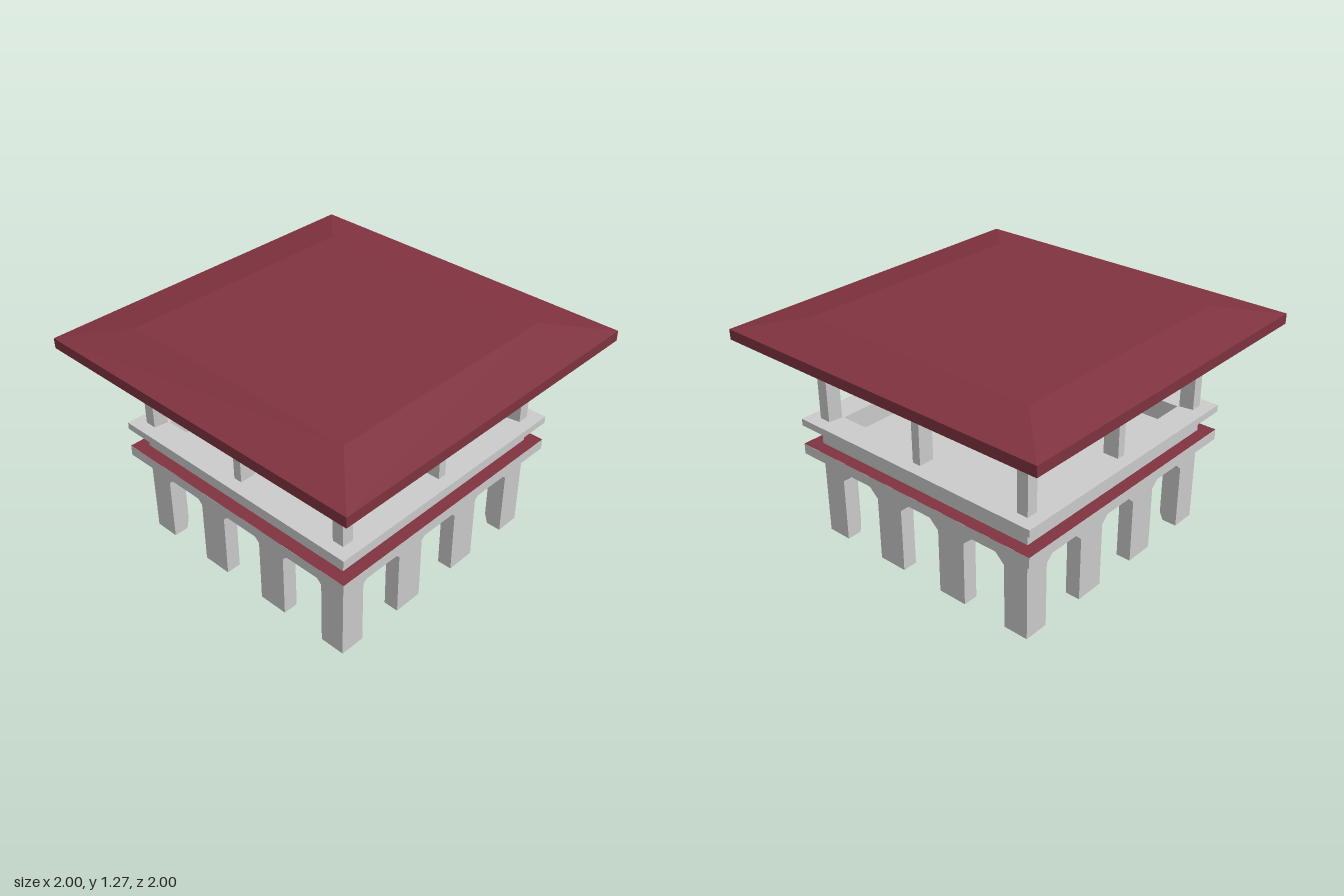
import * as THREE from 'three';

const grey = new THREE.MeshStandardMaterial({ color: 0xcccccc, flatShading: true, side: THREE.DoubleSide });
const red = new THREE.MeshStandardMaterial({ color: 0x803340, flatShading: true, side: THREE.DoubleSide });

const HALF = 0.71;          // half width of the tower
const WALL = 0.085;         // wall thickness
const INNER = HALF - WALL;  // inner face of the walls
const EAVE = 1.165;         // underside of the roof

const polygon = (points) => new THREE.Shape(points.map(([x, y]) => new THREE.Vector2(x, y)));
const square = (h) => polygon([[-h, -h], [h, -h], [h, h], [-h, h]]);

function add(parent, name, geometry, material = grey) {
  const mesh = new THREE.Mesh(geometry, material);
  mesh.name = name;
  parent.add(mesh);
  return mesh;
}

function slab(parent, name, half, y0, y1, material = grey) {
  const geo = new THREE.BoxGeometry(half * 2, y1 - y0, half * 2);
  add(parent, name, geo.translate(0, (y0 + y1) / 2, 0), material);
}

function extrude(shape, depth) {
  return new THREE.ExtrudeGeometry(shape, { depth, bevelEnabled: false });
}

// Square frame, open in the middle
function ringShape(half) {
  const shape = square(half);
  shape.holes.push(square(INNER));
  return shape;
}

function ring(parent, name, half, y0, y1) {
  add(parent, name, extrude(ringShape(half), y1 - y0).rotateX(-Math.PI / 2).translate(0, y0, 0));
}

// Upright prism from a plan outline of [x, z] points
function prism(plan, y0, y1) {
  const geo = extrude(polygon(plan.map(([x, z]) => [x, -z])), y1 - y0);
  return geo.rotateX(-Math.PI / 2).translate(0, y0, 0);
}

// Leave the feet hollow by dropping the triangles that lie on the ground
function openBase(geo) {
  const p = geo.getAttribute('position');
  const kept = [];
  for (let i = 0; i < p.count; i += 3) {
    if (Math.max(p.getY(i), p.getY(i + 1), p.getY(i + 2)) < 0.001) continue;
    for (let k = i; k < i + 3; k++) kept.push(p.getX(k), p.getY(k), p.getZ(k));
  }
  const open = new THREE.BufferGeometry();
  open.setAttribute('position', new THREE.Float32BufferAttribute(kept, 3));
  open.computeVertexNormals();
  return open;
}

// Wall with three chamfered openings, outer face at z = HALF
function arcadeWall(half) {
  const points = [[-half, 0]];
  for (const c of [-0.435, 0, 0.435]) {
    points.push([c - 0.132, 0], [c - 0.132, 0.37], [c - 0.046, 0.45],
      [c + 0.046, 0.45], [c + 0.132, 0.37], [c + 0.132, 0]);
  }
  points.push([half, 0], [half, 0.49], [-half, 0.49]);
  return openBase(extrude(polygon(points), WALL).translate(0, 0, INNER));
}

// Corner filling up to the springing
function cornerFill() {
  return openBase(prism([[INNER, INNER], [0.567, INNER], [INNER, 0.567]], 0, 0.37));
}

// Corner filling that widens from the springing to the arch tops
function cornerSquinch() {
  const low = 0.567, high = 0.481;
  const v = [
    [INNER, 0.37, low], [low, 0.37, INNER], [high, 0.45, INNER], [INNER, 0.45, high],
    [high, 0.49, INNER], [INNER, 0.49, high], [INNER, 0.49, INNER],
  ];
  const faces = [0, 1, 2, 0, 2, 3, 3, 2, 4, 3, 4, 5, 5, 4, 6];
  const geo = new THREE.BufferGeometry();
  geo.setAttribute('position', new THREE.Float32BufferAttribute(faces.flatMap((i) => v[i]), 3));
  geo.computeVertexNormals();
  return geo;
}

// Tapered bracket under the eaves, pointing to +z
function bracket(x, width) {
  const profile = [[0.64, 1.095], [HALF, 1.095], [0.935, 1.157], [0.935, EAVE], [0.64, EAVE]];
  const geo = extrude(polygon(profile), width).rotateY(-Math.PI / 2);
  return geo.translate(x + width / 2, 0, 0);
}

export function createModel() {
  const model = new THREE.Group();
  model.name = 'pavilionTower';

  for (let i = 0; i < 4; i++) {
    const side = new THREE.Group();
    side.name = 'side' + (i + 1);
    side.rotation.y = i * Math.PI / 2;
    model.add(side);

    // Arcade, with a filling inside each corner
    add(side, 'arcadeWall', arcadeWall(i % 2 ? INNER : HALF));
    add(side, 'cornerPierFill', cornerFill());
    add(side, 'cornerSquinch', cornerSquinch());

    // Gallery posts
    add(side, 'cornerPost', prism([[HALF, HALF], [0.645, HALF], [0.632, 0.632], [HALF, 0.645]], 0.7, 1.1));
    add(side, 'middlePost', new THREE.BoxGeometry(0.05, 0.4, 0.09).translate(0, 0.9, HALF - 0.045));

    // Beam and eaves brackets
    const length = (i % 2 ? HALF - 0.09 : HALF) * 2;
    add(side, 'beam', new THREE.BoxGeometry(length, 0.07, 0.09).translate(0, 1.13, HALF - 0.045));
    add(side, 'middleBracket', bracket(0, 0.05));
    for (const s of [-1, 1]) add(side, 'cornerBracket', bracket(s * 0.6775, 0.065));
  }

  // Lower ledge with a roofed top
  ring(model, 'lowerLedge', 0.78, 0.49, 0.55);
  const roofing = new THREE.ShapeGeometry(ringShape(0.78)).rotateX(-Math.PI / 2);
  add(model, 'ledgeRoofing', roofing.translate(0, 0.5505, 0), red);

  // Parapet around a sunken gallery floor, whose underside is the arcade ceiling
  ring(model, 'parapet', HALF, 0.55, 0.66);
  ring(model, 'parapetLedge', 0.78, 0.66, 0.7);
  slab(model, 'galleryFloor', INNER, 0.56, 0.58);

  // Roof: square slab with a shallow truncated pyramid
  slab(model, 'roofEdge', 1, EAVE, 1.222, red);
  const cap = new THREE.CylinderGeometry(HALF * Math.SQRT2, Math.SQRT2, 0.053, 4);
  add(model, 'roofTop', cap.rotateY(Math.PI / 4).translate(0, 1.2485, 0), red);

  return model;
}
